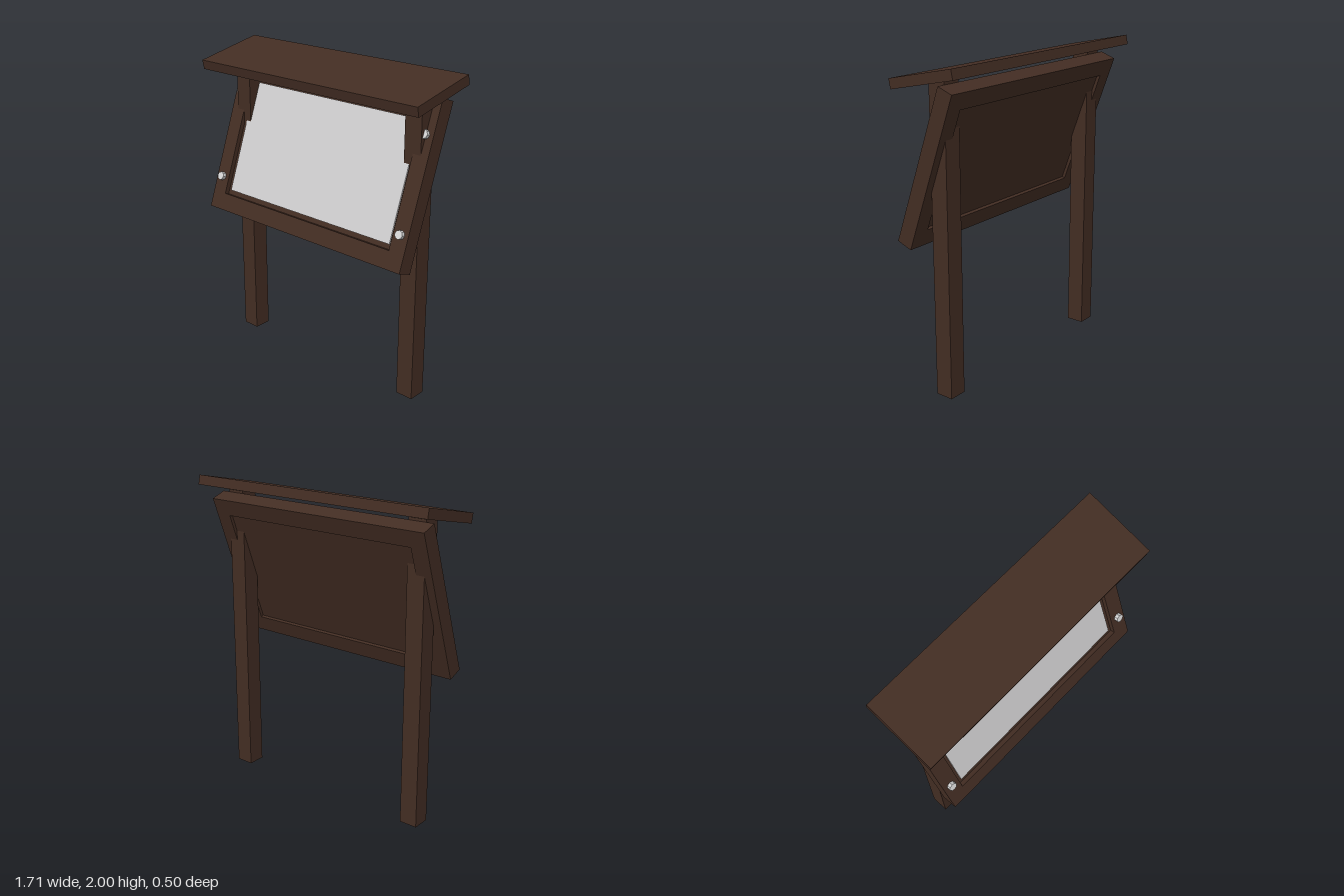
import * as THREE from 'three';

export function createModel() {
  const model = new THREE.Group();
  model.name = 'noticeBoard';

  const wood = new THREE.MeshStandardMaterial({ color: 0x432d23 });
  wood.name = 'dark wood';
  const paper = new THREE.MeshStandardMaterial({ color: 0xcfcecf });
  paper.name = 'pale panel';
  const metal = new THREE.MeshStandardMaterial({ color: 0xd8d8d8, flatShading: true });
  metal.name = 'bolt metal';

  function add(parent, name, geometry, material, x, y, z) {
    const mesh = new THREE.Mesh(geometry, material);
    mesh.name = name;
    mesh.position.set(x, y, z);
    parent.add(mesh);
    return mesh;
  }

  // Two upright posts
  for (const side of [-1, 1]) {
    add(model, side > 0 ? 'leftPost' : 'rightPost',
      new THREE.BoxGeometry(0.116, 1.9, 0.115), wood, side * 0.688, 0.95, -0.035);
  }

  // Sloping roof plank, higher at the back
  const roof = add(model, 'roof', new THREE.BoxGeometry(1.714, 0.061, 0.465), wood, 0, 1.922, -0.019);
  roof.rotation.x = 0.209;

  // Display case leaning back
  const board = new THREE.Group();
  board.name = 'displayCase';
  board.position.set(0, 1.395, 0.03);
  board.rotation.x = -0.347;
  model.add(board);

  const rectangle = (path, w, h) => {
    path.moveTo(-w, -h);
    path.lineTo(w, -h);
    path.lineTo(w, h);
    path.lineTo(-w, h);
    path.closePath();
    return path;
  };
  const outline = rectangle(new THREE.Shape(), 0.798, 0.502);
  outline.holes.push(rectangle(new THREE.Path(), 0.69, 0.393));
  const depth = 0.105;
  add(board, 'frame', new THREE.ExtrudeGeometry(outline, { depth, bevelEnabled: false }),
    wood, 0, 0, -depth / 2);

  // Recessed backing and the pale panel on it
  add(board, 'backing', new THREE.BoxGeometry(1.38, 0.786, 0.054), wood, 0, 0, -0.005);
  add(board, 'displayPanel', new THREE.BoxGeometry(1.334, 0.726, 0.008), paper, 0, 0, 0.026);

  // Bolts at the four corners of the frame
  for (const x of [-0.745, 0.745]) {
    for (const y of [-0.288, 0.288]) {
      const bolt = add(board, 'bolt', new THREE.CylinderGeometry(0.027, 0.027, 0.03, 8),
        metal, x, y, depth / 2 + 0.009);
      bolt.rotation.x = Math.PI / 2;
    }
  }

  return model;
}
